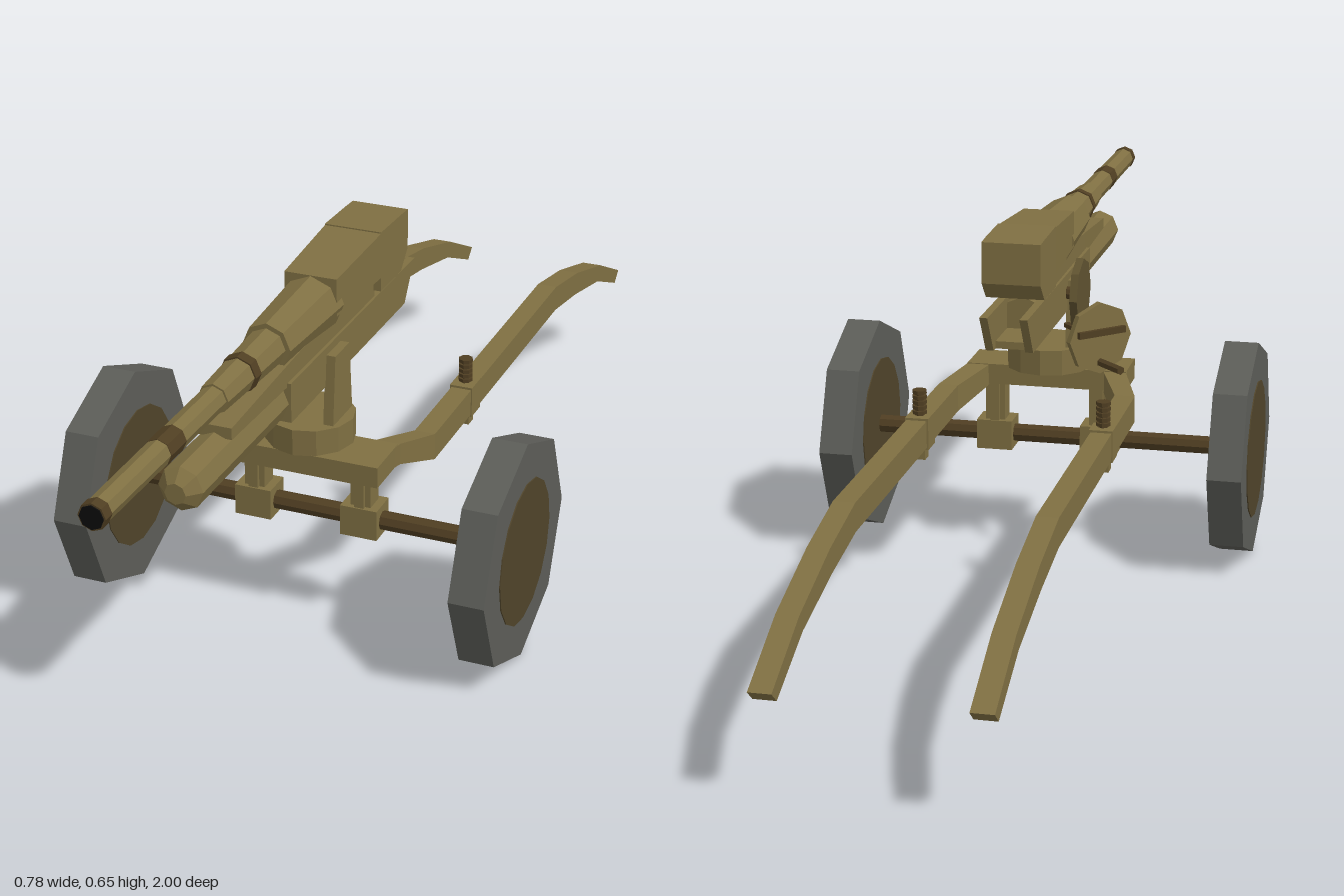
import * as THREE from 'three';

const mat = (name, color) => Object.assign(new THREE.MeshStandardMaterial({ color }), { name });

export function createModel() {
  const root = new THREE.Group();
  root.name = 'fieldGun';
  const olive = mat('olivePaint', 0x7f6f42);
  const darkOlive = mat('darkOlivePaint', 0x5f5230);
  const brown = mat('brownSteel', 0x4f3e22);
  const hubBrown = mat('hubBrown', 0x50442a);
  const rubber = mat('greyRubber', 0x5c5d58);
  const black = mat('boreBlack', 0x0c0c0c);

  // Adds a faceted mesh
  const add = (name, geo, material, parent = root) => {
    const g = geo.index ? geo.toNonIndexed() : geo;
    g.computeVertexNormals();
    const m = new THREE.Mesh(g, material);
    m.name = name;
    parent.add(m);
    return m;
  };
  // Box given by its limits
  const box = (name, x0, x1, y0, y1, z0, z1, material = olive) => add(name,
    new THREE.BoxGeometry(Math.abs(x1 - x0), y1 - y0, z1 - z0)
      .translate((x0 + x1) / 2, (y0 + y1) / 2, (z0 + z1) / 2), material);
  // Cylinder along z from the back zb to the front zf
  const tubeZ = (name, y, zb, zf, rb, rf, material = olive, sides = 8) => add(name,
    new THREE.CylinderGeometry(rf, rb, zf - zb, sides).rotateX(Math.PI / 2)
      .translate(0, y, (zf + zb) / 2), material);
  // Cylinder along x
  const tubeX = (name, x0, x1, y, z, r, material, sides = 8) => add(name,
    new THREE.CylinderGeometry(r, r, Math.abs(x1 - x0), sides).rotateZ(Math.PI / 2)
      .translate((x0 + x1) / 2, y, z), material);
  // Rectangular section: bottom edge at zb, top edge at zt
  const ring = (xa, xb, y0, y1, zb, zt = zb) => {
    const x0 = Math.min(xa, xb), x1 = Math.max(xa, xb);
    return [[x0, y0, zb], [x1, y0, zb], [x1, y1, zt], [x0, y1, zt]];
  };
  // Solid through four-cornered sections listed from front to back
  const loft = (name, rings, material = olive) => {
    const p = [];
    const quad = (a, b, c, d) => p.push(...a, ...b, ...c, ...a, ...c, ...d);
    quad(...rings[0]);
    for (let i = 0; i < rings.length - 1; i++) {
      for (let k = 0; k < 4; k++) {
        const n = (k + 1) % 4;
        quad(rings[i][k], rings[i + 1][k], rings[i + 1][n], rings[i][n]);
      }
    }
    quad(...[...rings[rings.length - 1]].reverse());
    const g = new THREE.BufferGeometry();
    g.setAttribute('position', new THREE.Float32BufferAttribute(p, 3));
    return add(name, g, material);
  };

  // Barrel, sleeves and bore
  const by = 0.585;
  tubeZ('barrel', by, 0.3, 0.99, 0.024, 0.021);
  tubeZ('muzzleRing', by, 0.978, 0.998, 0.0225, 0.0225, brown);
  tubeZ('bore', by, 0.996, 1.0, 0.0195, 0.0195, black);
  tubeZ('barrelBand', by, 0.74, 0.79, 0.0232, 0.0228, brown);
  tubeZ('barrelSleeve', by, 0.39, 0.6, 0.034, 0.026);
  tubeZ('sleeveBand', by, 0.49, 0.51, 0.0325, 0.032, brown);
  tubeZ('barrelJacket', by, 0.2, 0.4, 0.052, 0.042);

  // Breech
  loft('breechHousing', [
    ring(-0.047, 0.047, 0.57, 0.637, 0.22),
    ring(-0.052, 0.052, 0.565, 0.648, 0.03)]);
  loft('breechBlock', [
    ring(-0.052, 0.052, 0.54, 0.65, 0.035),
    ring(-0.052, 0.052, 0.54, 0.647, -0.06),
    ring(-0.052, 0.052, 0.572, 0.645, -0.092)]);

  // Cradle and recoil cylinder
  loft('slide', [
    ring(-0.03, 0.03, 0.52, 0.54, 0.6),
    ring(-0.036, 0.036, 0.52, 0.56, 0.38),
    ring(-0.038, 0.038, 0.52, 0.575, 0.03)]);
  tubeZ('recoilCylinder', 0.49, 0.0, 0.72, 0.038, 0.038);
  tubeZ('recoilCap', 0.49, 0.72, 0.74, 0.038, 0.018);
  for (const s of [1, -1]) {
    loft('cradleSide', [
      ring(s * 0.028, s * 0.042, 0.457, 0.527, 0.4),
      ring(s * 0.028, s * 0.042, 0.457, 0.527, -0.105, -0.152)]);
  }
  box('cradleFloor', -0.03, 0.03, 0.457, 0.47, -0.09, 0.4);

  // Turntable and cheeks
  add('turntable', new THREE.CylinderGeometry(0.078, 0.078, 0.047, 12)
    .translate(0, 0.3655, 0.225), olive);
  for (const s of [1, -1]) {
    loft('cheek', [
      ring(s * 0.04, s * 0.058, 0.38, 0.513, 0.265, 0.253),
      ring(s * 0.04, s * 0.058, 0.38, 0.513, 0.18, 0.192)]);
  }

  // Carriage, axle and its mounts
  box('carriagePlate', -0.15, 0.15, 0.305, 0.343, 0.2, 0.295);
  tubeX('axle', -0.33, 0.33, 0.205, 0.225, 0.017, brown);
  for (const s of [1, -1]) {
    box('axleClamp', s * 0.065, s * 0.132, 0.178, 0.234, 0.197, 0.253);
    box('axlePost', s * 0.08, s * 0.117, 0.23, 0.306, 0.207, 0.243);
    box('axlePostRib', s * 0.09, s * 0.107, 0.23, 0.306, 0.2, 0.25);

    // Wheel
    tubeX('tyre', s * 0.328, s * 0.39, 0.2025, 0.232, 0.2025, rubber);
    tubeX('outerHub', s * 0.388, s * 0.392, 0.2025, 0.232, 0.128, hubBrown, 16);
    tubeX('innerHub', s * 0.326, s * 0.33, 0.2025, 0.232, 0.128, hubBrown, 16);

    // Trail leg, bent inward at the front and curving down at the back
    const a = s * 0.146, b = s * 0.183;
    loft('trailLeg', [
      ring(s * 0.108, s * 0.15, 0.305, 0.343, 0.215),
      ring(s * 0.11, s * 0.152, 0.302, 0.341, 0.195),
      ring(a, b, 0.276, 0.325, 0.11),
      ring(a, b, 0.276, 0.325, -0.56),
      ring(a, b, 0.255, 0.298, -0.69, -0.7),
      ring(a, b, 0.22, 0.25, -0.845, -0.86),
      ring(a, b, 0.163, 0.183, -0.975, -0.998)]);

    // Trail hinge and locking screw
    const x = s * 0.164;
    box('trailCollar', x - 0.021, x + 0.021, 0.272, 0.329, -0.118, -0.072);
    box('hingePin', x - 0.012, x + 0.012, 0.25, 0.274, -0.107, -0.083);
    add('screwShaft', new THREE.CylinderGeometry(0.009, 0.009, 0.05, 6)
      .translate(x, 0.35, -0.095), brown);
    for (let i = 0; i < 5; i++) {
      add('screwThread', new THREE.CylinderGeometry(0.013, 0.013, 0.006, 8)
        .translate(x, 0.335 + i * 0.0093, -0.095), brown);
    }
  }

  // Elevating wheel beside the cradle
  tubeX('elevatingWheel', -0.073, -0.059, 0.492, 0.185, 0.066, darkOlive);
  tubeX('elevatingShaft', -0.062, -0.035, 0.492, 0.185, 0.012, brown);

  // Traversing wheel, angled out towards the rear, with shaft and crank
  const wheel = new THREE.Group();
  wheel.name = 'traversingWheel';
  wheel.position.set(-0.115, 0.43, 0.115);
  wheel.rotation.y = Math.PI / 4;
  root.add(wheel);
  add('wheelDisc', new THREE.CylinderGeometry(0.066, 0.066, 0.012, 8)
    .rotateX(Math.PI / 2), olive, wheel);
  add('wheelShaft', new THREE.CylinderGeometry(0.007, 0.007, 0.11, 6)
    .rotateX(Math.PI / 2).translate(0, 0, 0.05), brown, wheel);
  add('crankArm', new THREE.BoxGeometry(0.1, 0.012, 0.008).translate(0, 0.012, -0.01), brown, wheel);
  add('crankHandle', new THREE.CylinderGeometry(0.008, 0.008, 0.07, 6)
    .rotateX(Math.PI / 2).translate(0, -0.045, -0.035), brown, wheel);

  return root;
}
